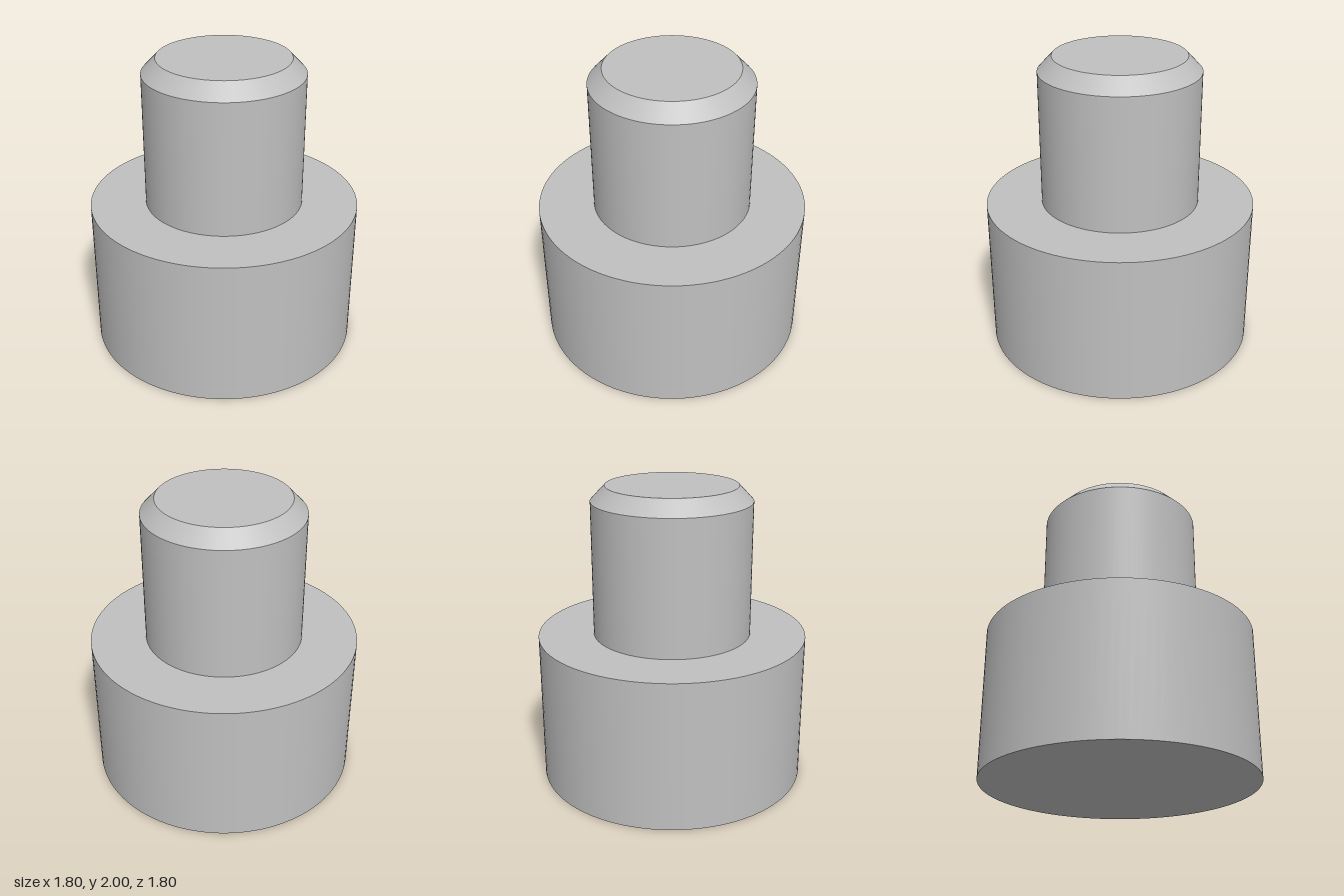
import * as THREE from 'three';

const SEGMENTS = 96;

export function createModel() {
  const model = new THREE.Group();
  model.name = 'steppedPin';
  const grey = new THREE.MeshStandardMaterial({ color: 0xc0c0c0 });
  grey.name = 'plain grey';

  const add = (name, geometry, y) => {
    const mesh = new THREE.Mesh(geometry, grey);
    mesh.name = name;
    mesh.position.y = y;
    model.add(mesh);
  };
  // Open side wall between two heights
  const wall = (name, rBottom, rTop, y0, y1) =>
    add(name, new THREE.CylinderGeometry(rTop, rBottom, y1 - y0, SEGMENTS, 1, true), (y0 + y1) / 2);

  // Wide base: wall, underside and the shoulder around the shaft
  wall('baseWall', 0.9, 0.9, 0, 1);
  add('baseUnderside', new THREE.CircleGeometry(0.9, SEGMENTS).rotateX(Math.PI / 2), 0);
  add('shoulder', new THREE.RingGeometry(0.53, 0.9, SEGMENTS).rotateX(-Math.PI / 2), 1);

  // Narrow shaft with a chamfered tip
  wall('shaft', 0.53, 0.53, 1, 1.9);
  wall('chamfer', 0.53, 0.435, 1.9, 2);
  add('tipFace', new THREE.CircleGeometry(0.435, SEGMENTS).rotateX(-Math.PI / 2), 2);

  return model;
}
